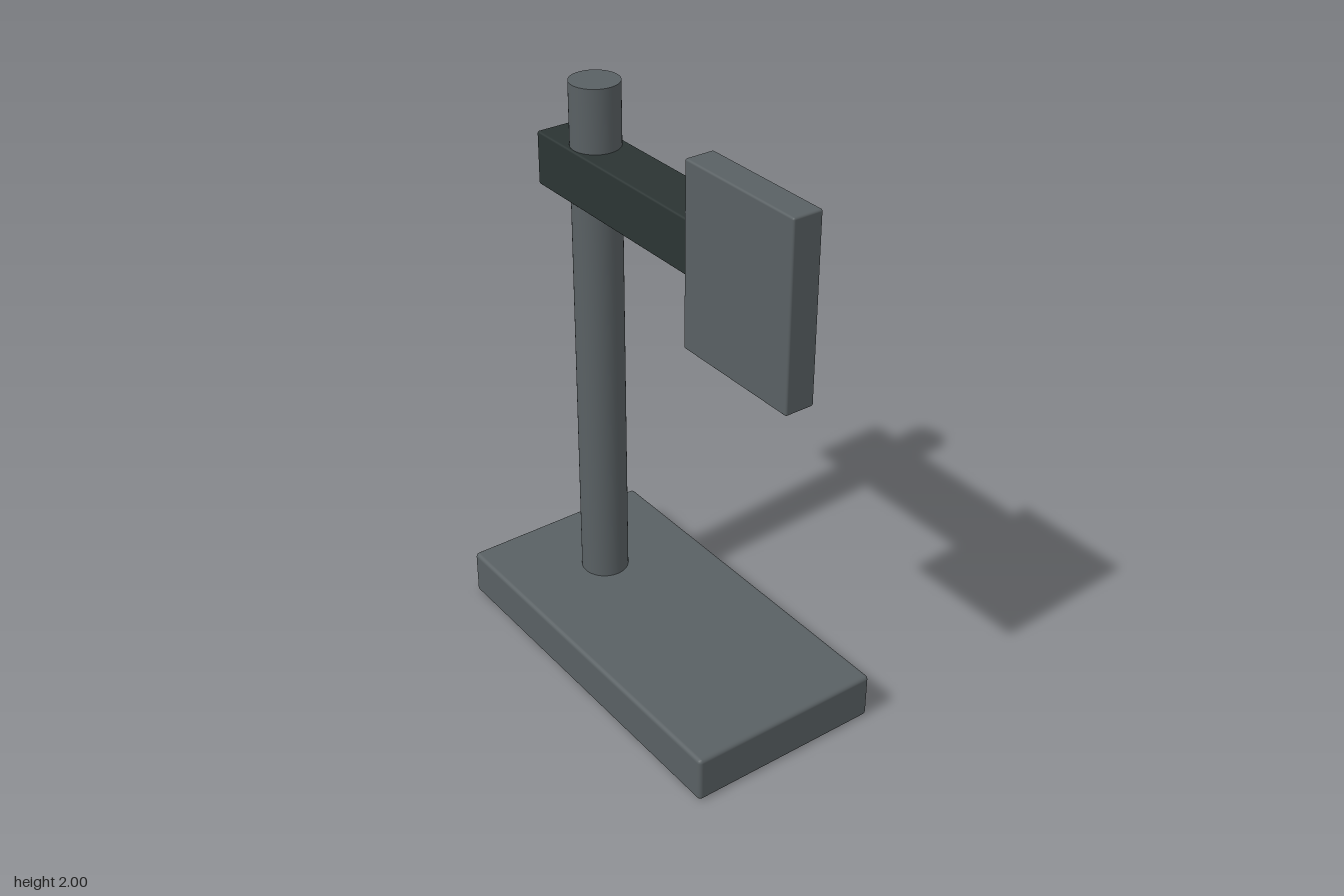
import * as THREE from 'three';
import { RoundedBoxGeometry } from 'three/addons/geometries/RoundedBoxGeometry.js';

const grey = new THREE.MeshStandardMaterial({ color: 0x596063 });
grey.name = 'slate grey';
const dark = new THREE.MeshStandardMaterial({ color: 0x2b3433 });
dark.name = 'dark charcoal';

// Softly rounded block spanning two opposite corners
function block(name, min, max, radius, material) {
  const size = max.map((v, i) => v - min[i]);
  const mesh = new THREE.Mesh(new RoundedBoxGeometry(...size, 2, radius), material);
  mesh.position.set(...max.map((v, i) => (v + min[i]) / 2));
  mesh.name = name;
  return mesh;
}

export function createModel() {
  const model = new THREE.Group();
  model.name = 'postStand';

  // Foot slab
  model.add(block('base', [-0.705, 0, -0.351], [0.652, 0.165, 0.349], 0.014, grey));

  // Upright post, offset to the right and running through the arm
  const post = new THREE.Mesh(new THREE.CylinderGeometry(0.083, 0.083, 1.9, 48), grey);
  post.position.set(-0.38, 1.05, -0.001);
  post.name = 'post';
  model.add(post);

  // Horizontal arm, ending behind the plate
  model.add(block('arm', [-0.58, 1.603, -0.092], [0.53, 1.786, 0.09], 0.007, dark));

  // Plate carried on the front of the arm
  model.add(block('plate', [0.22, 1.365, -0.002], [0.702, 1.98, 0.1], 0.007, grey));

  return model;
}
